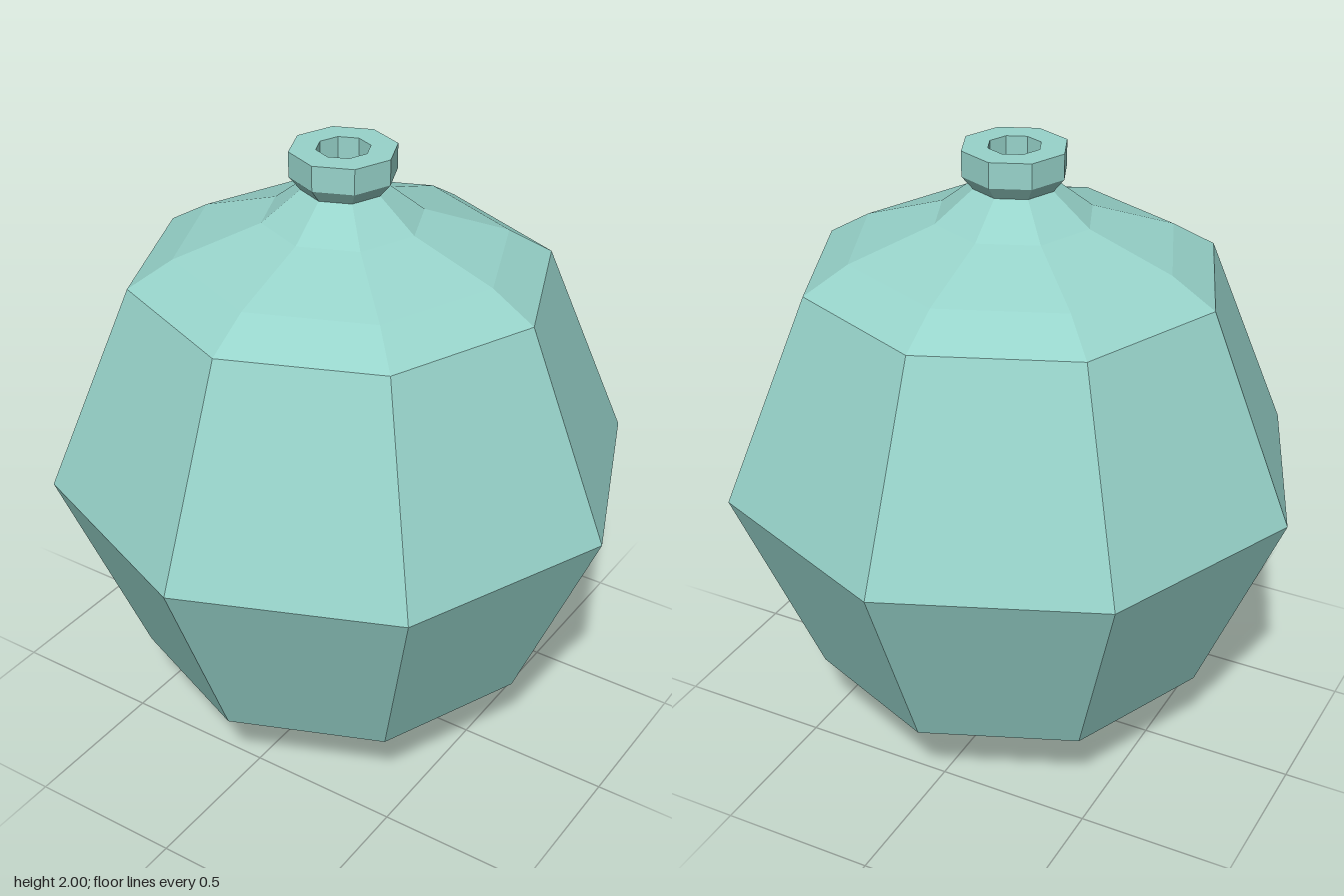
import * as THREE from 'three';

const SIDES = 8;

// Faceted part turned from [radius, height] points; corners lie on the x and z axes
function turned(name, profile, material) {
  const points = profile.map(([r, y]) => new THREE.Vector2(r, y));
  const mesh = new THREE.Mesh(new THREE.LatheGeometry(points, SIDES), material);
  mesh.name = name;
  return mesh;
}

export function createModel() {
  const group = new THREE.Group();
  group.name = 'facetedFlask';
  const glass = new THREE.MeshStandardMaterial({
    color: 0x97d3ca, flatShading: true, side: THREE.DoubleSide,
  });

  // Pointed base, two body bands and sloping shoulders
  group.add(turned('body', [
    [0, 0], [0.66, 0.275], [0.933, 0.937], [0.66, 1.6],
    [0.52, 1.685], [0.25, 1.78], [0.13, 1.877],
  ], glass));

  // Flared lip with a flat rim around the opening
  group.add(turned('lip', [
    [0.13, 1.877], [0.165, 1.92], [0.165, 2], [0.083, 2],
  ], glass));

  // Mouth bore and hollow inside, running from the rim down to the base
  group.add(turned('innerWall', [
    [0.083, 2], [0.083, 1.85], [0.22, 1.74], [0.49, 1.65],
    [0.62, 1.57], [0.88, 0.937], [0.62, 0.31], [0, 0.05],
  ], glass));

  return group;
}
